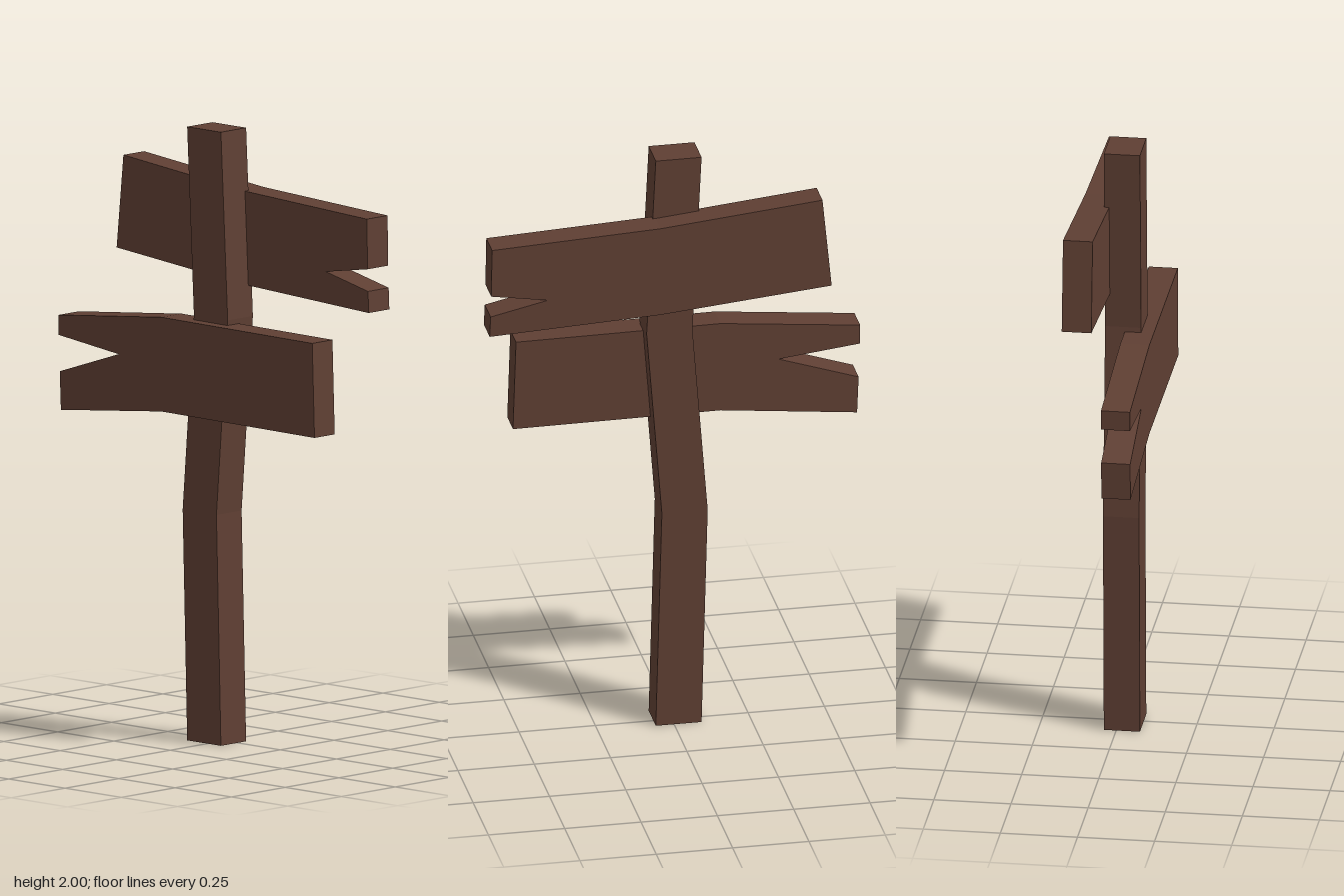
import * as THREE from 'three';

// Extrude a front outline between two depths
function plank(name, outline, zBack, zFront, material) {
  const shape = new THREE.Shape(outline.map(([x, y]) => new THREE.Vector2(x, y)));
  const geometry = new THREE.ExtrudeGeometry(shape, { depth: zFront - zBack, bevelEnabled: false });
  geometry.translate(0, 0, zBack);
  const mesh = new THREE.Mesh(geometry, material);
  mesh.name = name;
  return mesh;
}

export function createModel() {
  const group = new THREE.Group();
  group.name = 'signpost';
  const wood = new THREE.MeshStandardMaterial({ color: 0x5f3f33 });
  wood.name = 'brown wood';

  // Crooked post: left edge at each height, constant width
  const bends = [[-0.09, 0], [-0.11, 0.75], [-0.06, 1.39], [-0.09, 2]];
  const postWidth = 0.15;
  const postOutline = [
    ...bends.map(([x, y]) => [x + postWidth, y]),
    ...bends.slice().reverse(),
  ];
  group.add(plank('post', postOutline, -0.04, 0.077, wood));

  // Rear board, split at its +x end
  group.add(plank('upperBoard', [
    [-0.5, 1.545], [0.06, 1.492], [0.62, 1.465], [0.617, 1.535],
    [0.43, 1.577], [0.615, 1.607], [0.612, 1.77], [0.06, 1.797], [-0.47, 1.85],
  ], -0.12, -0.024, wood));

  // Front board, split at its -x end
  group.add(plank('lowerBoard', [
    [-0.612, 1.02], [-0.165, 1.068], [0.515, 1.063], [0.505, 1.37],
    [-0.165, 1.375], [-0.622, 1.328], [-0.622, 1.263], [-0.355, 1.232], [-0.617, 1.145],
  ], 0.024, 0.118, wood));

  return group;
}
